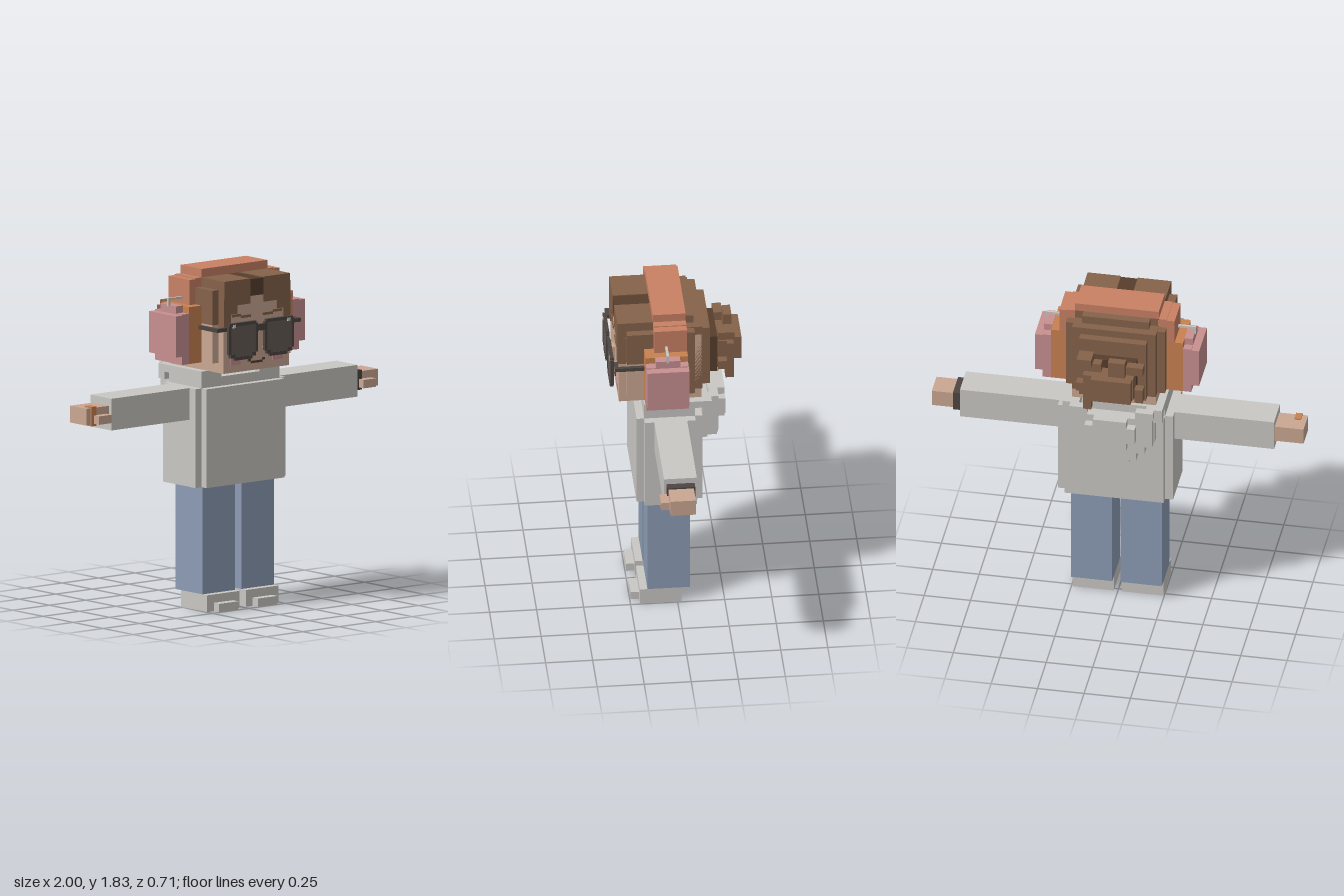
import * as THREE from 'three';

const mat = (name, color) => {
  const m = new THREE.MeshStandardMaterial({ color });
  m.name = name;
  return m;
};

export function createModel() {
  const model = new THREE.Group();
  const skin = mat('skin', 0xc9a792), hair = mat('hair', 0x85624a), darkHair = mat('dark hair', 0x573e2d);
  const cloth = mat('light grey', 0xc9c7c3), denim = mat('denim', 0x8c9cb4), pink = mat('pink', 0xc88f90);
  const coral = mat('coral', 0xc88064), orange = mat('orange', 0xc88150);
  const frame = mat('frame', 0x4d4542), lens = mat('lens', 0x665b57);

  // Box given by its limits on each axis
  const box = (name, m, x0, x1, y0, y1, z0, z1) => {
    const mesh = new THREE.Mesh(new THREE.BoxGeometry(x1 - x0, y1 - y0, z1 - z0), m);
    mesh.position.set((x0 + x1) / 2, (y0 + y1) / 2, (z0 + z1) / 2);
    mesh.name = name;
    model.add(mesh);
  };
  // Box centred on x, and a mirrored pair of boxes
  const mid = (name, m, w, ...r) => box(name, m, -w, w, ...r);
  const pair = (name, m, x0, x1, ...r) => {
    box(name + 'Left', m, x0, x1, ...r);
    box(name + 'Right', m, -x1, -x0, ...r);
  };

  // Legs and shoes
  pair('leg', denim, 0.022, 0.245, 0.09, 0.675, -0.065, 0.16);
  pair('shoe', cloth, 0.022, 0.245, 0, 0.09, -0.02, 0.2);
  pair('shoeToe', cloth, 0.067, 0.2, 0, 0.045, 0.2, 0.245);

  // Sweater
  mid('torso', cloth, 0.267, 0.67, 1.2, -0.13, 0.22);
  pair('torsoSide', cloth, 0.267, 0.31, 0.67, 1.2, -0.09, 0.18);
  pair('sleeve', cloth, 0.31, 0.845, 1.03, 1.2, -0.045, 0.13);
  mid('collar', cloth, 0.267, 1.2, 1.25, -0.09, 0.18);
  pair('collarTop', cloth, 0.13, 0.267, 1.25, 1.29, -0.045, 0.18);
  pair('hoodBridge', cloth, 0.18, 0.267, 1.25, 1.29, -0.18, -0.045);

  // Hood hanging on the back, in stepped layers: [half width, y0, y1]
  const layers = [
    [-0.175, -0.13, [[0.09, 0.94, 0.985], [0.135, 0.985, 1.03], [0.18, 1.03, 1.075], [0.225, 1.075, 1.21]]],
    [-0.22, -0.175, [[0.135, 0.985, 1.03], [0.18, 1.03, 1.075], [0.22, 1.075, 1.25]]],
    [-0.265, -0.22, [[0.09, 1.07, 1.115], [0.135, 1.115, 1.21], [0.09, 1.21, 1.25]]],
  ];
  for (const [z0, z1, rows] of layers)
    for (const [w, y0, y1] of rows) mid('hood', cloth, w, y0, y1, z0, z1);
  pair('hoodRim', cloth, 0.13, 0.225, 1.25, 1.29, -0.22, -0.175);
  pair('hoodEdge', cloth, 0.2, 0.267, 1.21, 1.25, -0.18, -0.13);

  // Hands, watch and ring
  pair('hand', skin, 0.845, 1, 1.07, 1.16, -0.025, 0.11);
  pair('thumb', skin, 0.865, 0.95, 1.075, 1.12, 0.11, 0.155);
  box('watch', frame, 0.845, 0.885, 1.062, 1.168, -0.033, 0.117);
  box('ring', orange, -0.97, -0.935, 1.063, 1.167, 0.06, 0.115);

  // Head
  mid('head', skin, 0.225, 1.29, 1.69, -0.13, 0.31);
  pair('headSide', skin, 0.225, 0.267, 1.345, 1.55, 0.16, 0.27);
  mid('nose', skin, 0.022, 1.4, 1.5, 0.31, 0.332);
  mid('noseTip', skin, 0.045, 1.36, 1.41, 0.31, 0.332);
  pair('cheek', pink, 0.11, 0.18, 1.33, 1.375, 0.31, 0.314);
  mid('mouth', darkHair, 0.04, 1.328, 1.34, 0.31, 0.315);
  pair('mouthCorner', darkHair, 0.04, 0.058, 1.34, 1.352, 0.31, 0.315);
  pair('eyebrowInner', hair, 0.04, 0.11, 1.578, 1.592, 0.31, 0.317);
  pair('eyebrowOuter', hair, 0.11, 0.17, 1.588, 1.602, 0.31, 0.317);

  // Hair cap
  pair('hairTop', hair, 0.045, 0.225, 1.735, 1.785, -0.045, 0.27);
  pair('hairTopFront', hair, 0.045, 0.225, 1.69, 1.785, 0.27, 0.318);
  mid('hairParting', darkHair, 0.045, 1.69, 1.78, 0.08, 0.316);
  mid('hairCrown', hair, 0.18, 1.69, 1.785, -0.09, 0.08);
  mid('hairUpper', hair, 0.267, 1.69, 1.735, -0.09, 0.27);
  pair('hairTemple', hair, 0.225, 0.267, 1.55, 1.69, -0.09, 0.27);
  pair('hairSide', hair, 0.225, 0.267, 1.345, 1.55, -0.09, 0.16);
  mid('hairBack', hair, 0.225, 1.345, 1.74, -0.135, -0.045);
  mid('hairBackPanel', hair, 0.18, 1.345, 1.7, -0.178, -0.135);

  // Fringe steps across the forehead
  pair('fringeInner', hair, 0.045, 0.135, 1.65, 1.69, 0.27, 0.318);
  pair('fringeMiddle', hair, 0.135, 0.18, 1.605, 1.69, 0.27, 0.318);
  pair('fringeOuter', hair, 0.18, 0.227, 1.53, 1.69, 0.27, 0.318);

  // Messy bun on a dark base
  mid('bunBase', darkHair, 0.135, 1.39, 1.61, -0.222, -0.178);
  mid('bun', hair, 0.135, 1.43, 1.56, -0.31, -0.222);
  box('bunTip', hair, -0.13, 0.085, 1.43, 1.565, -0.355, -0.31);
  const strands = [
    [-0.18, -0.09, 1.56, 1.61], [0.045, 0.18, 1.52, 1.61], [-0.18, -0.135, 1.39, 1.47],
    [0.0, 0.09, 1.39, 1.43], [0.135, 0.18, 1.43, 1.48],
  ];
  for (const [x0, x1, y0, y1] of strands) box('bunStrand', hair, x0, x1, y0, y1, -0.27, -0.222);
  box('bunTuft', hair, -0.09, 0, 1.56, 1.655, -0.31, -0.265);
  box('bunTuft', hair, 0.09, 0.17, 1.61, 1.655, -0.31, -0.222);
  box('bunTail', hair, 0.09, 0.135, 1.345, 1.43, -0.31, -0.265);

  // Headphones: band, cups and thin brackets
  mid('headbandTop', coral, 0.225, 1.785, 1.83, -0.045, 0.13);
  pair('headbandStep', coral, 0.225, 0.267, 1.735, 1.785, -0.045, 0.13);
  pair('headbandSide', coral, 0.267, 0.31, 1.645, 1.735, -0.045, 0.13);
  pair('headbandShoulder', coral, 0.22, 0.31, 1.69, 1.78, -0.045, 0.13);
  pair('earCushion', orange, 0.267, 0.355, 1.34, 1.645, -0.045, 0.18);
  pair('earCup', pink, 0.355, 0.4, 1.34, 1.61, -0.045, 0.18);
  pair('earCupTop', pink, 0.355, 0.4, 1.61, 1.648, 0, 0.13);
  pair('earCupOuter', pink, 0.4, 0.442, 1.384, 1.605, -0.045, 0.18);
  pair('bracketBar', cloth, 0.285, 0.405, 1.672, 1.685, 0.06, 0.073);
  pair('bracketPost', cloth, 0.392, 0.405, 1.64, 1.672, 0.06, 0.073);

  // Glasses
  pair('glassesArm', frame, 0.267, 0.287, 1.52, 1.54, 0.16, 0.333);
  pair('glassesHinge', frame, 0.22, 0.287, 1.52, 1.54, 0.315, 0.336);
  mid('glassesBridge', frame, 0.03, 1.505, 1.54, 0.336, 0.352);
  pair('lens', lens, 0.04, 0.205, 1.38, 1.545, 0.338, 0.35);
  pair('rimTop', frame, 0.035, 0.215, 1.545, 1.562, 0.336, 0.354);
  pair('rimBottom', frame, 0.06, 0.18, 1.362, 1.38, 0.336, 0.354);
  pair('rimOuter', frame, 0.205, 0.222, 1.395, 1.55, 0.336, 0.354);
  pair('rimInner', frame, 0.025, 0.042, 1.395, 1.55, 0.336, 0.354);
  pair('rimCornerOuter', frame, 0.178, 0.21, 1.376, 1.396, 0.336, 0.354);
  pair('rimCornerInner', frame, 0.038, 0.065, 1.376, 1.396, 0.336, 0.354);
  for (const x of [-0.195, 0.18]) box('lensGlint', cloth, x, x + 0.018, 1.537, 1.555, 0.35, 0.356);

  return model;
}
